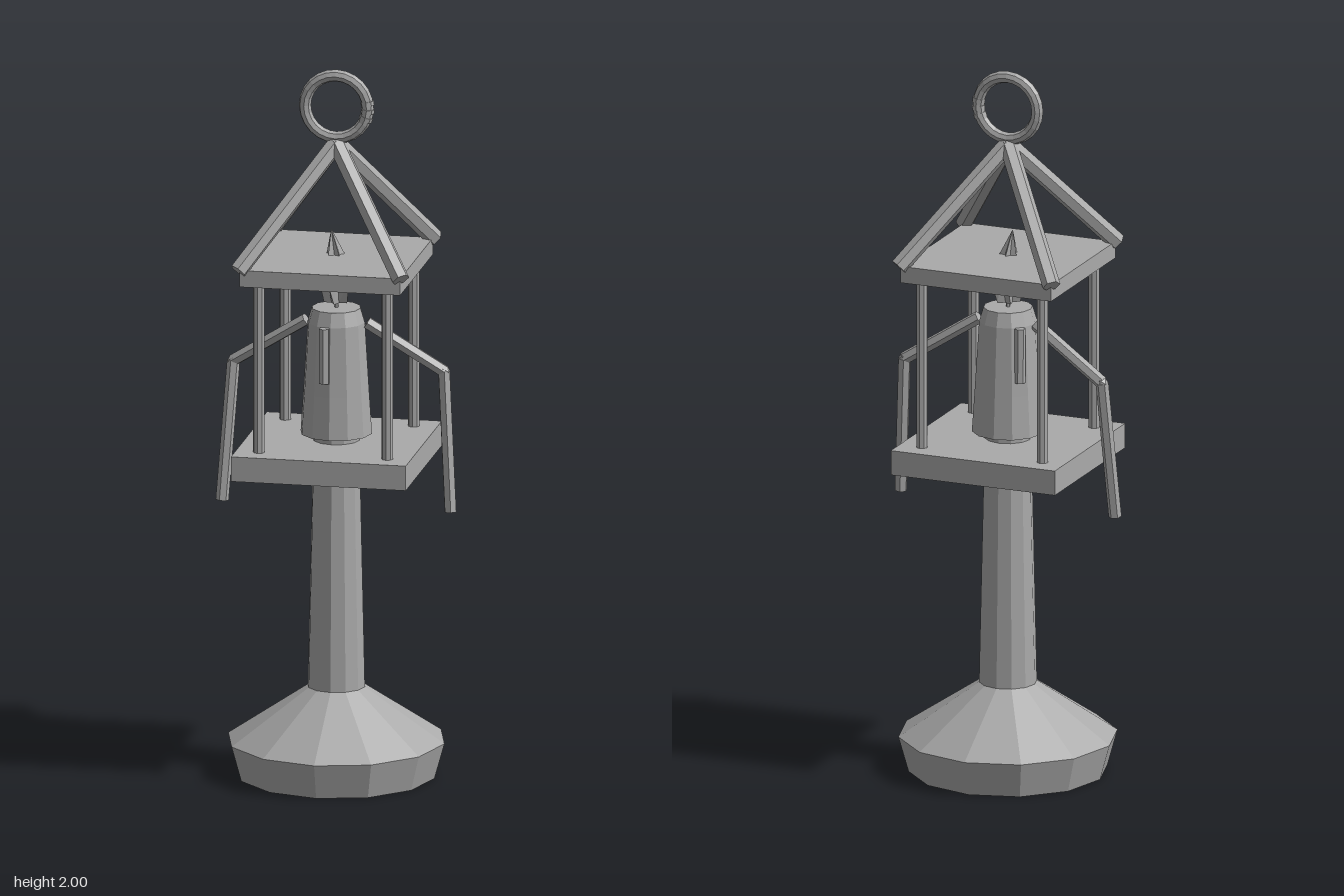
import * as THREE from 'three';

const V = (x, y, z) => new THREE.Vector3(x, y, z);

export function createModel() {
  const model = new THREE.Group();
  const grey = new THREE.MeshStandardMaterial({ color: 0xaaaaaa, flatShading: true, side: THREE.DoubleSide });
  grey.name = 'grey';

  const add = (name, geometry, x = 0, y = 0, z = 0) => {
    const mesh = new THREE.Mesh(geometry, grey);
    mesh.name = name;
    mesh.position.set(x, y, z);
    model.add(mesh);
    return mesh;
  };
  const lathe = (name, points, sides) =>
    add(name, new THREE.LatheGeometry(points.map(p => new THREE.Vector2(...p)), sides));
  // Straight rod between two points
  const rod = (name, a, b, r, sides = 6) => {
    const dir = b.clone().sub(a);
    const mesh = add(name, new THREE.CylinderGeometry(r, r, dir.length(), sides));
    mesh.position.copy(a).add(b).multiplyScalar(0.5);
    mesh.quaternion.setFromUnitVectors(V(0, 1, 0), dir.normalize());
    return mesh;
  };

  // Hollow foot and tapering column
  lathe('foot', [[0.275, 0], [0.303, 0.1], [0.08, 0.25]], 12);
  lathe('column', [[0.08, 0.25], [0.066, 0.89]], 12);

  // Lantern floor and ceiling
  add('floorPlate', new THREE.BoxGeometry(0.49, 0.07, 0.49), 0, 0.915, 0);
  add('ceilingPlate', new THREE.BoxGeometry(0.45, 0.047, 0.45), 0, 1.452, 0);

  // Corner posts and roof rafters
  for (const sx of [-1, 1]) for (const sz of [-1, 1]) {
    rod('post', V(0.18 * sx, 0.94, 0.18 * sz), V(0.18 * sx, 1.44, 0.18 * sz), 0.016, 8);
    rod('rafter', V(0.228 * sx, 1.474, 0.228 * sz), V(0, 1.79, 0), 0.025);
  }

  // Candle with a narrow collar and bevelled top
  lathe('candle', [[0.065, 0.95], [0.065, 0.967], [0.1, 0.97], [0.092, 1.09], [0.08, 1.285], [0.068, 1.325], [0, 1.325]], 12);
  rod('wick', V(0, 1.32, 0), V(0, 1.37, 0), 0.006);

  // Wax drips
  rod('frontDrip', V(-0.016, 1.13, 0.088), V(-0.016, 1.285, 0.086), 0.015);
  rod('backDrip', V(-0.062, 1.13, -0.062), V(-0.062, 1.285, -0.06), 0.015);

  // Flame: twisted star sections rising to an off-centre tip
  const flame = new THREE.CylinderGeometry(1, 1, 1, 10, 3);
  const radii = [0.034, 0.052, 0.034, 0.001];
  const heights = [1.34, 1.41, 1.455, 1.545];
  const pos = flame.attributes.position;
  for (let i = 0; i < pos.count; i++) {
    const level = Math.round((pos.getY(i) + 0.5) * 3);
    const x = pos.getX(i), z = pos.getZ(i);
    const a = Math.atan2(z, x);
    const centre = Math.hypot(x, z) < 0.5;
    const spike = Math.cos(5 * (a - Math.PI / 2)) > 0 ? 1 : 0.5;
    const r = centre ? 0 : radii[level] * spike;
    const t = a + level * 0.3;
    pos.setXYZ(i, r * Math.cos(t) - (level === 3 ? 0.014 : 0), heights[level], r * Math.sin(t));
  }
  flame.computeVertexNormals();
  add('flame', flame);

  // Bent arms, mirrored
  for (const s of [-1, 1]) {
    const elbow = V(0.295 * s, 1.15, -0.033);
    rod('upperArm', V(0.085 * s, 1.285, -0.004), elbow, 0.018);
    rod('forearm', elbow, V(0.32 * s, 0.76, 0), 0.018);
    add('elbow', new THREE.IcosahedronGeometry(0.018, 0), elbow.x, elbow.y, elbow.z);
  }

  // Hanging ring with small ridges at its joint
  add('ring', new THREE.TorusGeometry(0.088, 0.017, 8, 24), 0, 1.895, 0);
  for (const a of [-0.35, -0.1, 0.15]) {
    const ridge = add('ringRidge', new THREE.CylinderGeometry(0.019, 0.019, 0.012, 8),
      0.088 * Math.cos(a), 1.895 + 0.088 * Math.sin(a), 0);
    ridge.rotation.z = a;
  }

  return model;
}
